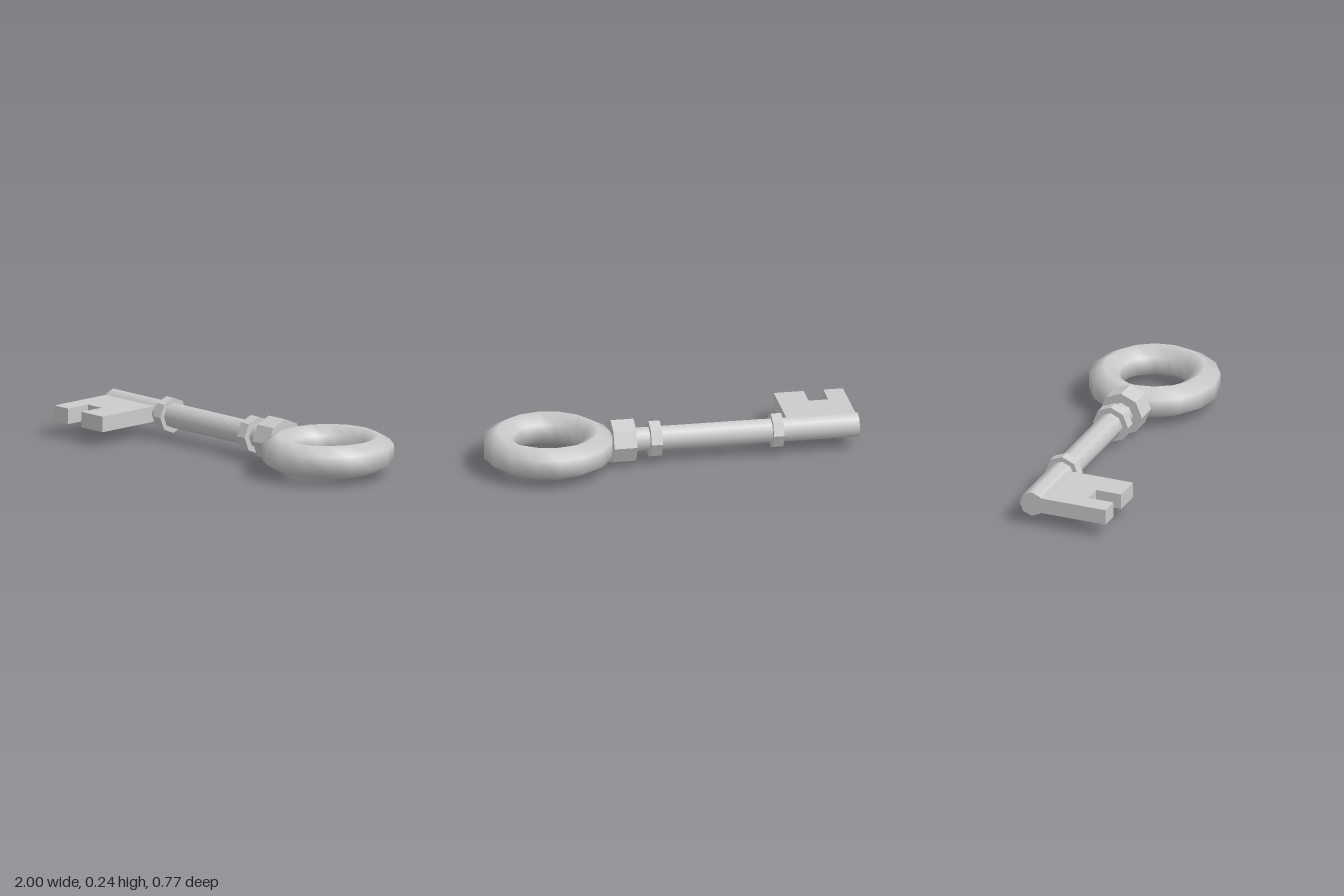
import * as THREE from 'three';
import { mergeVertices } from 'three/addons/utils/BufferGeometryUtils.js';

const AXIS_Y = 0.123, AXIS_Z = -0.04;

export function createModel() {
  const group = new THREE.Group();
  group.name = 'key';
  const metal = new THREE.MeshStandardMaterial({ name: 'greyMetal', color: 0xcccccc });

  const add = (name, geometry) => {
    const mesh = new THREE.Mesh(geometry, metal);
    mesh.name = name;
    group.add(mesh);
    return mesh;
  };

  // Octagonal bar along the key's axis, from x0 to x1
  const bar = (name, x0, x1, radius, faceted) => {
    let g = new THREE.CylinderGeometry(radius, radius, x1 - x0, 8);
    g.rotateZ(Math.PI / 2);
    if (faceted) {
      g = g.toNonIndexed();
      g.computeVertexNormals();
    }
    add(name, g).position.set((x0 + x1) / 2, AXIS_Y, AXIS_Z);
  };
  bar('shaft', -1, 0.21, 0.068, false);
  bar('bitBand', -0.59, -0.535, 0.095, true);
  bar('middleBand', 0.06, 0.12, 0.1, true);
  bar('collar', 0.2, 0.323, 0.12, true);

  // Ring handle: hexagonal section with upright outer and inner sides, smooth shaded
  const section = [];
  for (let i = 0; i <= 6; i++) {
    const a = Math.PI / 6 + (i * Math.PI) / 3;
    section.push(new THREE.Vector2(0.267 + 0.09 * Math.cos(a), 0.09 * Math.sin(a)));
  }
  let ring = new THREE.LatheGeometry(section, 16);
  ring.deleteAttribute('normal');
  ring.deleteAttribute('uv');
  ring = mergeVertices(ring, 1e-4);
  ring.computeVertexNormals();
  add('ringHandle', ring).position.set(0.655, AXIS_Y, AXIS_Z);

  // Flat bit with a notch, outlined in x and z
  const outline = [
    [-1, 0], [-0.63, 0], [-0.63, 0.383], [-0.79, 0.383],
    [-0.79, 0.24], [-0.895, 0.24], [-0.895, 0.383], [-1, 0.383],
  ].map(([x, z]) => new THREE.Vector2(x, z));
  const bit = new THREE.ExtrudeGeometry(new THREE.Shape(outline), { depth: 0.084, bevelEnabled: false });
  bit.rotateX(Math.PI / 2);
  add('bit', bit).position.y = 0.165;

  return group;
}
